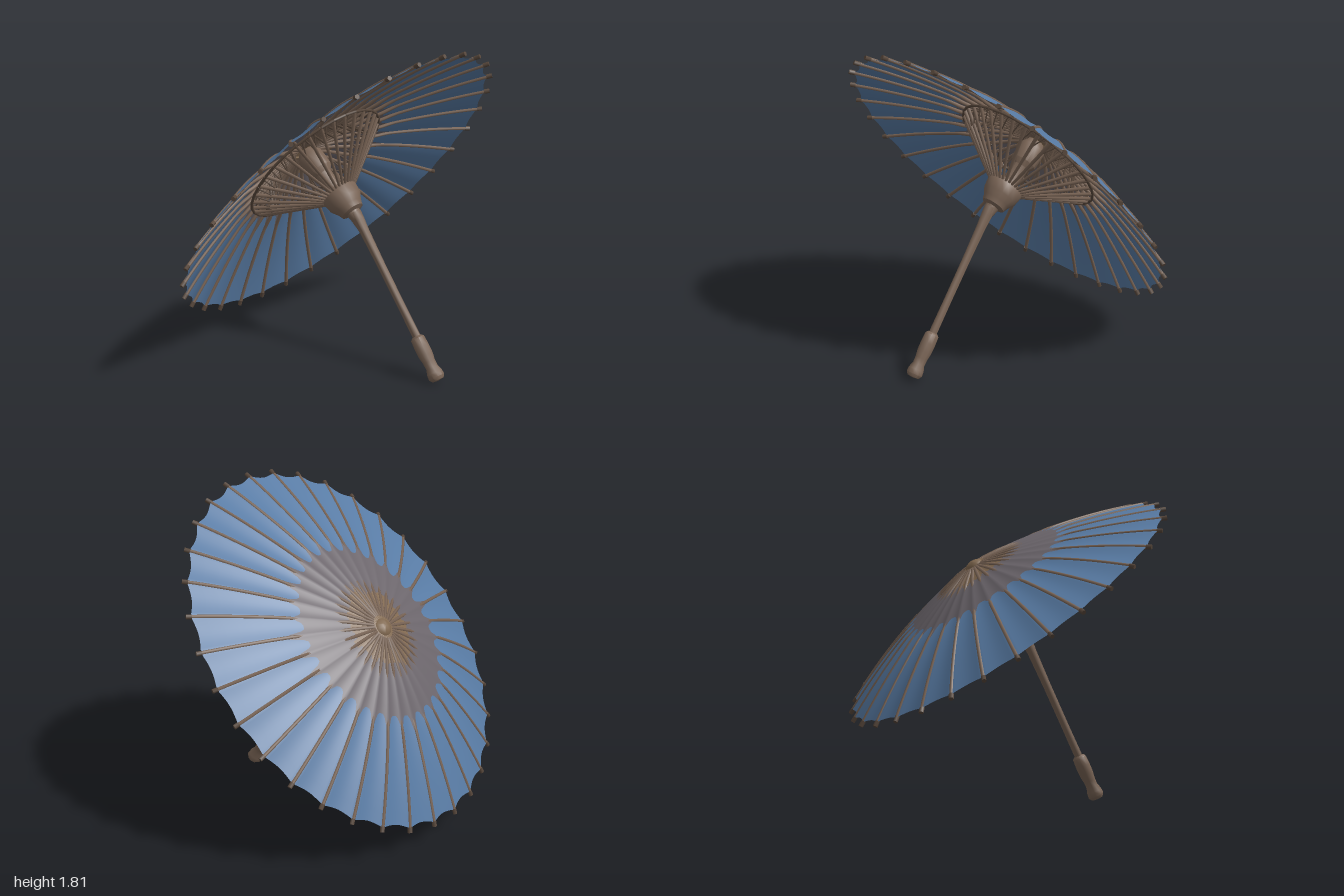
import * as THREE from 'three';
import { mergeGeometries, toCreasedNormals } from 'three/addons/utils/BufferGeometryUtils.js';

const RIBS = 33, SUB = 8, RX = 0.98, RZ = 1.1;

const paint = (name, color, side = THREE.FrontSide) => {
  const m = new THREE.MeshStandardMaterial({ color, side });
  m.name = name;
  return m;
};
const blue = paint('blue paper', 0x587ba4, THREE.DoubleSide);
const grey = paint('mauve grey paper', 0x6b656b, THREE.DoubleSide);
const tan = paint('tan paper', 0x80684f, THREE.DoubleSide);
const wood = paint('brown wood', 0x786354);
const darkWood = paint('dark wood', 0x57473b);

// Repeatable variation for each rib
const vary = (i) => {
  const s = Math.sin((i % RIBS) * 12.9898 + 4.1) * 43758.5453;
  return s - Math.floor(s);
};

// Canopy surface: shallow domed cone, t = 0 at the apex and 1 at the rim
const canopyPoint = (t, a, lift = 0) => new THREE.Vector3(
  t * RX * Math.sin(a),
  0.32 * (1 - t) + 0.16 * t * (1 - t) + lift,
  t * RZ * Math.cos(a) - 0.045 * (1 - t));
const ribAngle = (i) => (i / RIBS) * Math.PI * 2;

function makeMesh(name, geometry, material) {
  const mesh = new THREE.Mesh(geometry, material);
  mesh.name = name;
  return mesh;
}

// Ring of paper between two boundaries given as functions of the angle step
function paperBand(inner, outer, rows) {
  const n = RIBS * SUB, pos = [], idx = [];
  for (let r = 0; r <= rows; r++) {
    for (let j = 0; j < n; j++) {
      const t = inner(j) + (outer(j) - inner(j)) * (r / rows);
      const sag = -0.012 * t * Math.sin(Math.PI * (j % SUB) / SUB);
      pos.push(...canopyPoint(t, (j / n) * Math.PI * 2, sag).toArray());
      if (r < rows) {
        const k = (j + 1) % n, a = r * n + j, b = r * n + k;
        idx.push(a, a + n, b, b, a + n, b + n);
      }
    }
  }
  const g = new THREE.BufferGeometry();
  g.setAttribute('position', new THREE.Float32BufferAttribute(pos, 3));
  g.setIndex(idx);
  g.computeVertexNormals();
  return g;
}

// Straight round bar between two points
function bar(p, q, r0, r1 = r0, sides = 5) {
  const d = q.clone().sub(p);
  const g = new THREE.CylinderGeometry(r1, r0, d.length(), sides);
  g.applyQuaternion(new THREE.Quaternion().setFromUnitVectors(
    new THREE.Vector3(0, 1, 0), d.clone().normalize()));
  const m = p.clone().add(q).multiplyScalar(0.5);
  return g.translate(m.x, m.y, m.z);
}

const lathe = (profile, sides) => toCreasedNormals(new THREE.LatheGeometry(
  profile.map(([r, y]) => new THREE.Vector2(r, y)), sides), 0.75);

function buildCanopy() {
  const canopy = new THREE.Group();
  canopy.name = 'canopy';

  // Paper in three colours: tan centre, grey patch with fingers, blue field
  const nearest = (j) => Math.round(j / SUB);
  const tanEdge = (j) => 0.18 + 0.05 * vary(nearest(j) + 7);
  const greyEdge = (j) => 0.455 + (0.04 + 0.09 * vary(nearest(j)))
    * Math.pow(Math.abs(Math.cos(Math.PI * j / SUB)), 5);
  const rim = (j) => 0.992 - 0.022 * Math.sin(Math.PI * (j % SUB) / SUB);
  canopy.add(
    makeMesh('centre paper', paperBand(() => 0.001, tanEdge, 3), tan),
    makeMesh('patch paper', paperBand(tanEdge, greyEdge, 5), grey),
    makeMesh('field paper', paperBand(greyEdge, rim, 8), blue));

  // Ribs show through the paper at the centre and towards the rim
  const ribs = [], tips = [], struts = [], threads = [];
  for (let i = 0; i < RIBS; i++) {
    const a = ribAngle(i), half = ribAngle(i + 0.5), next = ribAngle(i + 1);
    const pts = [];
    for (let k = 0; k <= 12; k++) {
      const t = 0.06 + 0.94 * k / 12;
      pts.push(canopyPoint(t, a, t > 0.24 && t < 0.52 ? -0.013 : -0.005));
    }
    ribs.push(new THREE.TubeGeometry(new THREE.CatmullRomCurve3(pts), 24, 0.0105, 6));
    tips.push(bar(canopyPoint(0.985, a, -0.005), canopyPoint(1.012, a, -0.005), 0.013, 0.013, 6));

    // Struts fan out from the runner to the ribs
    const foot = new THREE.Vector3(0.095 * Math.sin(a), -0.03, 0.095 * Math.cos(a) - 0.015);
    const head = canopyPoint(0.42, a, -0.022);
    struts.push(bar(foot, head, 0.008, 0.011));

    // Lacing between struts and ribs
    const onStrut = foot.clone().lerp(head, 0.72);
    const onNext = canopyPoint(0.35, next, -0.022);
    threads.push(
      bar(onStrut, canopyPoint(0.4, half, -0.025), 0.005, 0.005, 4),
      bar(canopyPoint(0.4, half, -0.025), onNext, 0.005, 0.005, 4),
      bar(onStrut, canopyPoint(0.27, a, -0.02), 0.006, 0.006, 4),
      bar(canopyPoint(0.42, a, -0.028), canopyPoint(0.42, next, -0.028), 0.008, 0.008, 5));
  }
  canopy.add(
    makeMesh('ribs', mergeGeometries(ribs), wood),
    makeMesh('ribTips', mergeGeometries(tips), darkWood),
    makeMesh('struts', mergeGeometries(struts), wood),
    makeMesh('lacing', mergeGeometries(threads), darkWood));

  // Runner cup, centre post and top notch
  const runner = makeMesh('runner', lathe([[0, -0.215], [0.032, -0.21], [0.04, -0.165],
    [0.068, -0.155], [0.078, -0.125], [0.1, -0.09], [0.108, -0.03], [0.095, -0.005],
    [0.06, 0], [0, 0]], 16), wood);
  const post = makeMesh('centrePost', lathe([[0, -0.02], [0.045, -0.02], [0.05, 0.12],
    [0.075, 0.15], [0.075, 0.25], [0.05, 0.29], [0, 0.295]], 14), wood);
  const cap = makeMesh('topCap', lathe([[0.055, 0.305], [0.045, 0.322], [0.02, 0.333],
    [0, 0.335]], 12), tan);
  runner.position.z = -0.012;
  post.position.z = -0.025;
  cap.position.z = -0.045;
  canopy.add(runner, post, cap);

  canopy.position.set(0, 0.97, -0.015);
  canopy.rotation.x = -0.865;
  return canopy;
}

function buildHandle() {
  const handle = new THREE.Group();
  handle.name = 'handle';
  // Carved grip with a swollen end, then a slim shaft
  const grip = makeMesh('grip', lathe([[0, -0.005], [0.034, 0], [0.046, 0.018],
    [0.044, 0.045], [0.034, 0.075], [0.035, 0.11], [0.041, 0.15], [0.042, 0.2],
    [0.039, 0.25], [0.026, 0.262], [0, 0.262]], 10), wood);
  const shaft = makeMesh('shaft', lathe([[0, 0.24], [0.023, 0.24], [0.022, 0.45],
    [0.023, 0.7], [0.027, 0.9], [0.032, 0.97], [0.034, 1.02], [0, 1.03]], 10), wood);
  handle.add(grip, shaft);
  handle.position.set(0, 0.035, 0.718);
  handle.rotation.x = -0.632;
  return handle;
}

export function createModel() {
  const model = new THREE.Group();
  model.name = 'parasol';
  model.add(buildCanopy(), buildHandle());
  return model;
}
